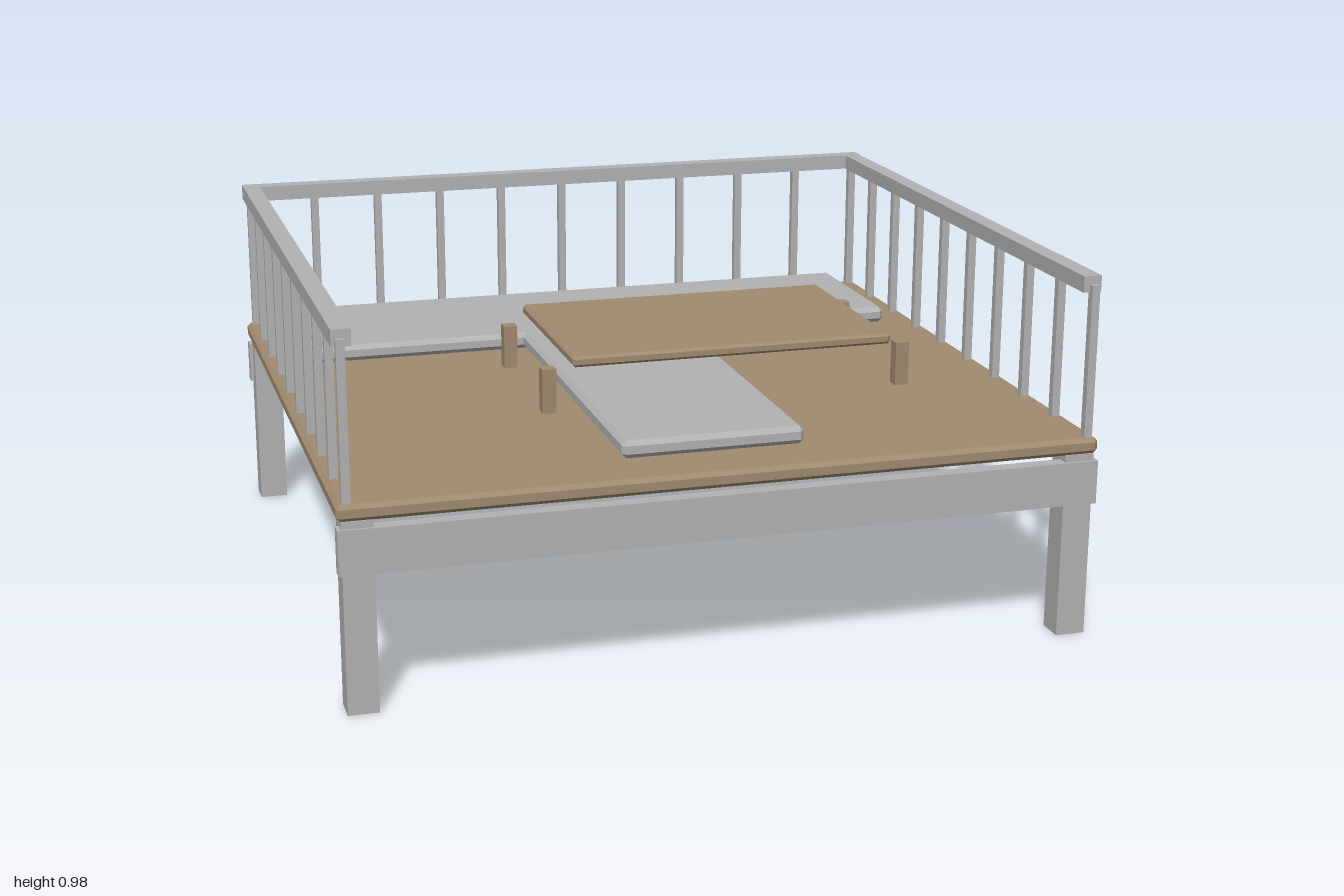
import * as THREE from 'three';
import { ConvexGeometry } from 'three/addons/geometries/ConvexGeometry.js';

const grey = new THREE.MeshStandardMaterial({ color: 0xb2b2b2 });
grey.name = 'grey';
const wood = new THREE.MeshStandardMaterial({ color: 0xa08b70 });
wood.name = 'wood';

export function createModel() {
  const model = new THREE.Group();
  model.name = 'railedPlatform';

  // Box given by its ranges along x, y and z; an optional chamfer cuts all edges
  function box(name, material, [x0, x1], [y0, y1], [z0, z1], chamfer = 0) {
    const w = x1 - x0, h = y1 - y0, d = z1 - z0;
    let geometry = new THREE.BoxGeometry(w, h, d);
    if (chamfer) {
      const points = [];
      for (const sx of [-1, 1]) for (const sy of [-1, 1]) for (const sz of [-1, 1]) {
        const a = w / 2, b = h / 2, c = d / 2, k = chamfer;
        points.push(
          new THREE.Vector3(sx * a, sy * (b - k), sz * (c - k)),
          new THREE.Vector3(sx * (a - k), sy * b, sz * (c - k)),
          new THREE.Vector3(sx * (a - k), sy * (b - k), sz * c));
      }
      geometry = new ConvexGeometry(points);
    }
    const mesh = new THREE.Mesh(geometry, material);
    mesh.name = name;
    mesh.position.set((x0 + x1) / 2, (y0 + y1) / 2, (z0 + z1) / 2);
    model.add(mesh);
    return mesh;
  }
  const around = (c, size) => [c - size / 2, c + size / 2];

  // Deck with chamfered edges
  box('deck', wood, [-1, 1], [0.503, 0.547], [-0.9, 0.9], 0.011);

  // Legs and the two cross beams
  for (const sz of [-1, 1]) {
    for (const sx of [-1, 1]) {
      box('leg', grey, around(sx * 0.95, 0.08), [0, 0.504], around(sz * 0.855, 0.076));
    }
    box('beam', grey, [-1, 1], [0.367, 0.485], around(sz * 0.882, 0.038));
  }

  // Top rails on the back and both sides
  box('backRail', grey, [-0.995, 0.995], [0.935, 0.978], [-0.9, -0.85]);
  for (const sx of [-1, 1]) {
    box('sideRail', grey, around(sx * 0.97, 0.049), [0.934, 0.977], [-0.895, 0.873]);
  }

  // Balusters: eleven along the back, nine more down each side
  const baluster = (x, z) => box('baluster', grey, around(x, 0.022), [0.547, 0.955], around(z, 0.022));
  for (let i = 0; i <= 10; i++) baluster(-0.974 + i * 0.1948, -0.876);
  for (const sx of [-1, 1]) {
    for (let i = 1; i <= 9; i++) baluster(sx * 0.974, -0.876 + i * 0.1947);
  }

  // Cushions laid out as a T
  box('backCushion', grey, [-0.895, 0.895], [0.548, 0.595], [-0.85, -0.358], 0.013);
  box('middleCushion', grey, [-0.247, 0.243], [0.548, 0.596], [-0.385, 0.745], 0.013);

  // Table top and its four separate short posts
  box('tableTop', wood, [-0.298, 0.594], [0.711, 0.74], [-0.146, 0.442], 0.007);
  for (const x of [-0.352, 0.648]) {
    for (const z of [-0.082, 0.378]) {
      box('tableLeg', wood, around(x, 0.038), [0.578, 0.699], around(z, 0.038));
    }
  }
  return model;
}
